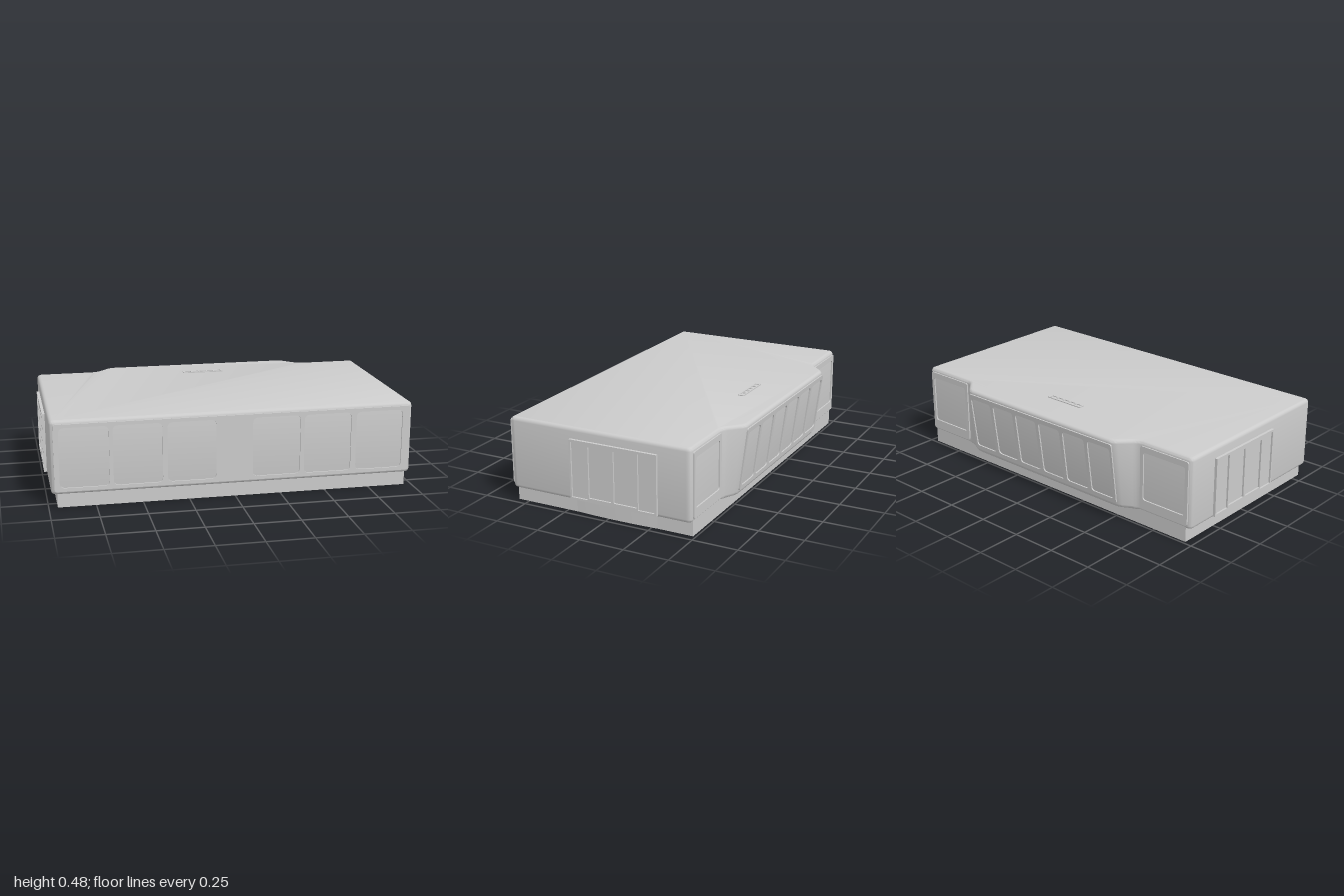
import * as THREE from 'three';
import { toCreasedNormals } from 'three/addons/utils/BufferGeometryUtils.js';

const grey = new THREE.MeshStandardMaterial({ color: 0xcccccc });

function add(parent, name, geometry) {
  const mesh = new THREE.Mesh(geometry, grey);
  mesh.name = name;
  parent.add(mesh);
  return mesh;
}

// Closed outline with every corner rounded by r
function roundedPath(points, r, Type = THREE.Shape) {
  const path = new Type();
  const v = points.map(([x, y]) => new THREE.Vector2(x, y));
  v.forEach((p, i) => {
    const prev = v[(i + v.length - 1) % v.length];
    const next = v[(i + 1) % v.length];
    const a = p.clone().add(prev.clone().sub(p).setLength(r));
    const b = p.clone().add(next.clone().sub(p).setLength(r));
    if (i === 0) path.moveTo(a.x, a.y);
    else path.lineTo(a.x, a.y);
    path.quadraticCurveTo(p.x, p.y, b.x, b.y);
  });
  path.closePath();
  return path;
}

const rect = (x0, x1, y0, y1, r, Type) =>
  roundedPath([[x0, y0], [x1, y0], [x1, y1], [x0, y1]], r, Type);

// Flat plate with rounded openings; each opening is [x0, x1, y0, y1]
function plate(outline, openings, depth, rOut, rIn) {
  const shape = rect(...outline, rOut);
  shape.holes = openings.map((o) => rect(...o, rIn, THREE.Path));
  return new THREE.ExtrudeGeometry(shape, { depth, bevelEnabled: false, curveSegments: 5 });
}

// The rear bay leans outward towards the top
const WALL = 0.485;
const lean = (y) => THREE.MathUtils.lerp(0.5, 1, THREE.MathUtils.clamp((y - 0.075) / 0.385, 0, 1));
const baySurface = (y) => -(WALL + 0.098 * lean(y));

function moveZ(geometry, rule) {
  const p = geometry.attributes.position;
  for (let i = 0; i < p.count; i++) p.setZ(i, rule(p.getY(i), p.getZ(i)));
  geometry.computeVertexNormals();
  return geometry;
}

function bodyGeometry() {
  // Plan outline, y here is towards the back
  const plan = roundedPath([
    [-0.985, -0.582], [0.985, -0.582], [0.985, 0.488], [0.635, 0.488],
    [0.54, 0.583], [-0.54, 0.583], [-0.635, 0.488], [-0.985, 0.488],
  ], 0.03);
  const b = 0.02;
  const g = new THREE.ExtrudeGeometry(plan, {
    depth: 0.4 - 2 * b, bevelEnabled: true, bevelThickness: b, bevelSize: b,
    bevelOffset: -b, bevelSegments: 4, curveSegments: 6,
  });
  g.rotateX(-Math.PI / 2).translate(0, 0.075 + b, 0);
  moveZ(g, (y, z) => (z < -WALL ? -WALL + (z + WALL) * lean(y) : z));
  return toCreasedNormals(g, 0.7);
}

// Entrance: framed group of four glazed leaves, facing +z before turning
function entrance() {
  const group = new THREE.Group();
  const leaves = [
    [-0.2, -0.105, 0.097, 0.402], [-0.097, 0.036, 0.108, 0.39],
    [0.052, 0.186, 0.108, 0.39], [0.193, 0.288, 0.097, 0.402],
  ];
  add(group, 'doorFrame', plate([-0.21, 0.3, 0.085, 0.415], leaves, 0.02, 0.001, 0.001));
  leaves.forEach(([x0, x1, y0, y1]) => {
    const pane = add(group, 'doorPane', new THREE.BoxGeometry(x1 - x0, y1 - y0, 0.012));
    pane.position.set((x0 + x1) / 2, (y0 + y1) / 2, 0.004);
  });
  return group;
}

export function createModel() {
  const model = new THREE.Group();
  model.name = 'building';

  // Plinth
  const base = add(model, 'plinth', new THREE.BoxGeometry(1.912, 0.09, 1.05));
  base.position.set(0.003, 0.045, 0.04);

  // Gently bowed sill below one entrance
  const sill = new THREE.Shape();
  sill.moveTo(0.94, -0.21);
  sill.lineTo(0.958, -0.21);
  sill.quadraticCurveTo(0.975, 0.045, 0.958, 0.3);
  sill.lineTo(0.94, 0.3);
  const sillGeo = new THREE.ExtrudeGeometry(sill, { depth: 0.08, bevelEnabled: false, curveSegments: 12 });
  add(model, 'entranceSill', toCreasedNormals(sillGeo.rotateX(-Math.PI / 2), 0.6));

  // Main volume with the leaning rear bay
  add(model, 'body', bodyGeometry());

  // Front cladding with six sunken window panels
  const windows = [-0.94, -0.658, -0.37, 0.09, 0.374, 0.665].map((x) => [x, x + 0.262, 0.112, 0.438]);
  const front = plate([-0.967, 0.967, 0.093, 0.457], windows, 0.01, 0.015, 0.03);
  add(model, 'frontCladding', front.translate(0, 0, 0.58));

  // Bay cladding with six sunken panels, following the lean
  const bayWindows = [-2.5, -1.5, -0.5, 0.5, 1.5, 2.5].map((i) => [i * 0.178 - 0.078, i * 0.178 + 0.078, 0.125, 0.425]);
  const bay = plate([-0.537, 0.537, 0.1, 0.452], bayWindows, 0.008, 0.012, 0.02).rotateY(Math.PI);
  add(model, 'bayCladding', moveZ(bay, (y, z) => z + baySurface(y)));

  // Rear wall cladding either side of the bay
  for (const side of [-1, 1]) {
    const x = side * 0.81;
    const wall = plate([-0.155, 0.155, 0.097, 0.453], [[-0.135, 0.135, 0.15, 0.42]], 0.01, 0.012, 0.015);
    add(model, 'rearCladding', wall.rotateY(Math.PI).translate(x, 0, -0.485));
  }

  // Entrances on both ends
  const right = entrance();
  right.name = 'entranceRight';
  right.rotation.y = -Math.PI / 2;
  right.position.x = -0.98;
  // Opposite end: same layout mirrored across x
  const left = entrance();
  left.name = 'entranceLeft';
  left.rotation.y = Math.PI / 2;
  left.position.x = 0.98;
  right.scale.x = -1;
  model.add(right, left);

  // Slotted vent on the roof
  const slots = [-2, -1, 0, 1, 2].map((i) => [i * 0.045 - 0.018, i * 0.045 + 0.018, -0.011, 0.011]);
  const vent = plate([-0.12, 0.12, -0.018, 0.018], slots, 0.008, 0.002, 0.002);
  add(model, 'roofVent', vent.rotateX(-Math.PI / 2).translate(0, 0.472, -0.353));

  return model;
}
